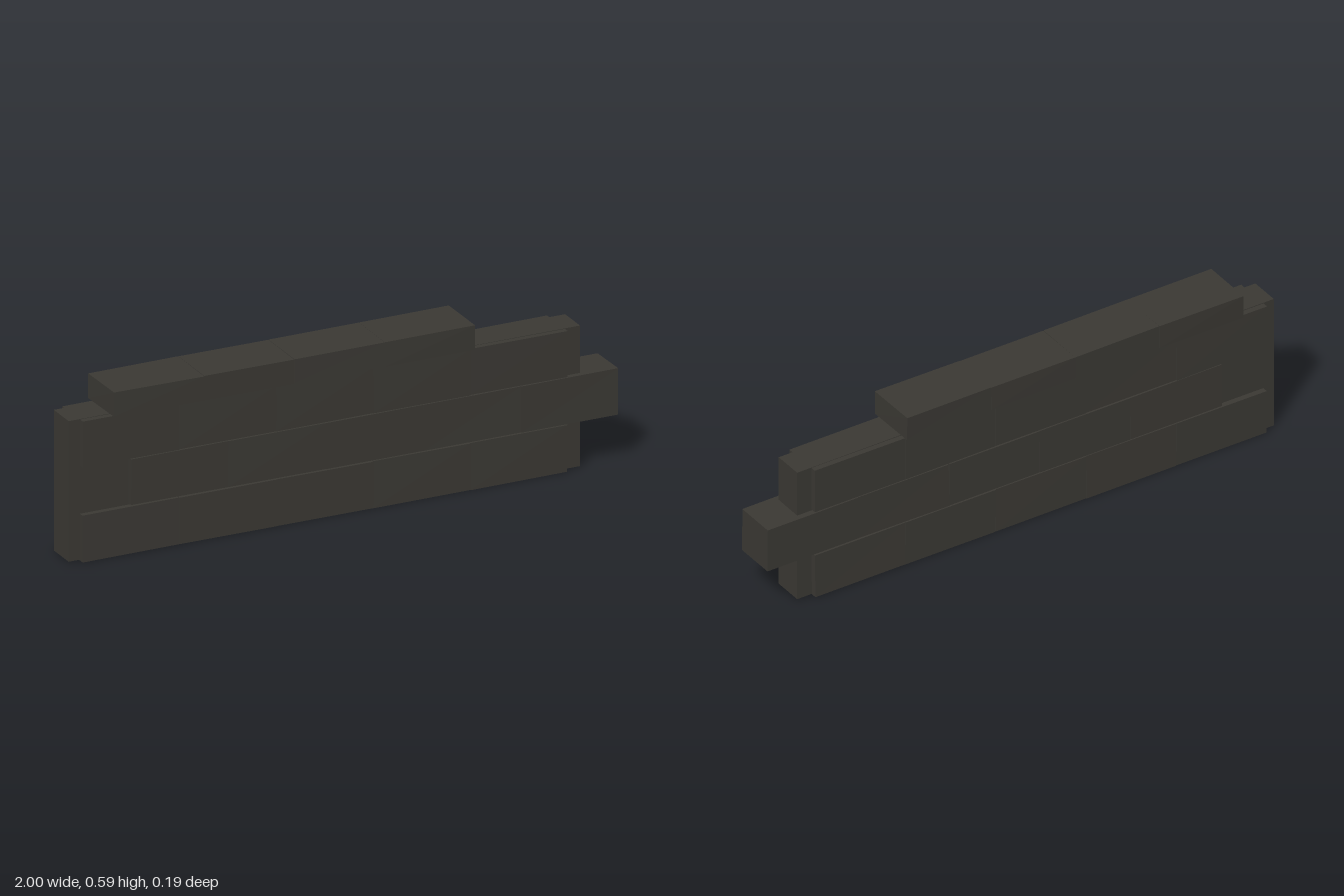
import * as THREE from 'three';

const stone = new THREE.MeshStandardMaterial({ color: 0x3a3833, flatShading: true });

// Small seeded generator for the uneven brick corners
let seed = 7;
const jitter = (amount) => {
  seed = (seed * 16807) % 2147483647;
  return (seed / 2147483647 - 0.5) * 2 * amount;
};

// Box with slightly displaced corners; coincident vertices move together
function unevenBox(w, h, d, amount) {
  const geo = new THREE.BoxGeometry(w, h, d);
  const p = geo.attributes.position;
  const moved = new Map();
  for (let i = 0; i < p.count; i++) {
    const key = [p.getX(i) > 0, p.getY(i) > 0, p.getZ(i) > 0].join();
    if (!moved.has(key)) moved.set(key, [jitter(amount), jitter(amount), jitter(amount)]);
    const [x, y, z] = moved.get(key);
    p.setXYZ(i, p.getX(i) + x, p.getY(i) + y, p.getZ(i) + z);
  }
  geo.computeVertexNormals();
  return geo;
}

// A row of equal bricks between x0 and x1
function course(name, x0, x1, y0, y1, depth, count) {
  const row = new THREE.Group();
  row.name = name;
  const step = (x1 - x0) / count;
  for (let i = 0; i < count; i++) {
    const brick = new THREE.Mesh(unevenBox(step - 0.001, y1 - y0, depth, 0.0012), stone);
    brick.name = `${name}Brick${i + 1}`;
    brick.position.set(x0 + step * (i + 0.5), (y0 + y1) / 2, 0);
    row.add(brick);
  }
  return row;
}

export function createModel() {
  seed = 7;
  const wall = new THREE.Group();
  wall.name = 'brickWall';

  // Recessed mortar core
  const core = new THREE.Mesh(new THREE.BoxGeometry(1.868, 0.497, 0.11), stone);
  core.name = 'mortarCore';
  core.position.set(-0.066, 0.2525, 0);
  wall.add(core);

  // Staggered courses and the wider cap stones
  wall.add(
    course('bottomCourse', -0.96, 0.812, 0.002, 0.166, 0.151, 5),
    course('middleCourse', -0.782, 0.998, 0.171, 0.333, 0.151, 5),
    course('topCourse', -0.96, 0.812, 0.337, 0.499, 0.151, 5),
    course('capCourse', -0.855, 0.465, 0.503, 0.589, 0.191, 4),
  );
  return wall;
}
